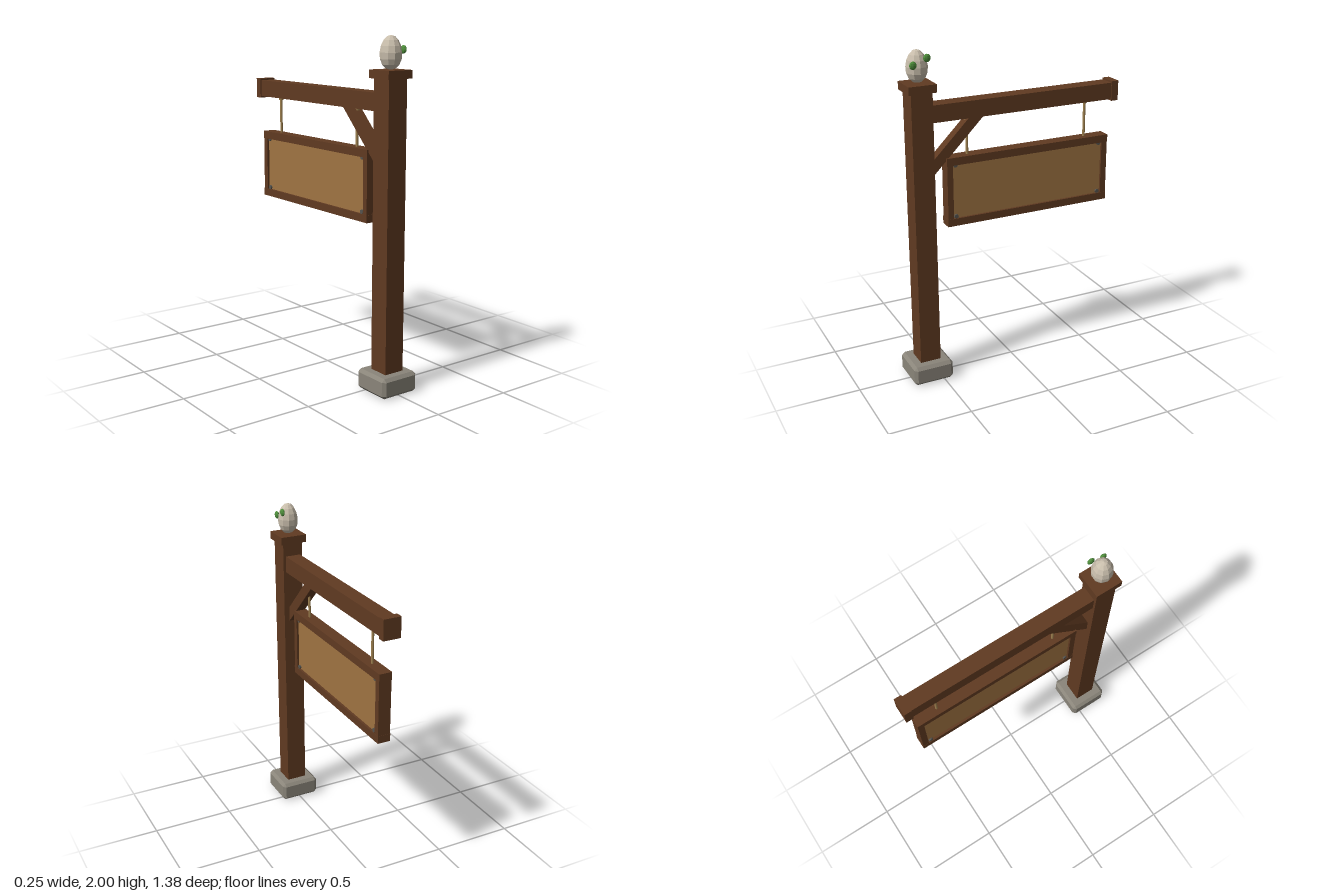
import * as THREE from 'three';
import { ConvexGeometry } from 'three/addons/geometries/ConvexGeometry.js';

function mat(name, color) {
  const m = new THREE.MeshStandardMaterial({ color });
  m.name = name;
  return m;
}

// Faceted normals without changing the material
function faceted(geo) {
  const g = geo.index ? geo.toNonIndexed() : geo;
  g.computeVertexNormals();
  return g;
}

// Box with all edges and corners cut by c
function chamferBox(w, h, d, c) {
  const pts = [];
  for (const x of [-1, 1]) for (const y of [-1, 1]) for (const z of [-1, 1]) {
    const [a, b, e] = [x * w / 2, y * h / 2, z * d / 2];
    pts.push(new THREE.Vector3(a, b - y * c, e - z * c));
    pts.push(new THREE.Vector3(a - x * c, b, e - z * c));
    pts.push(new THREE.Vector3(a - x * c, b - y * c, e));
  }
  return new ConvexGeometry(pts);
}

export function createModel() {
  const model = new THREE.Group();
  model.name = 'hangingSignpost';

  const wood = mat('darkWood', 0x603a21);
  const board = mat('lightWood', 0xa07442);
  const stone = mat('stone', 0x8a857a);
  const shell = mat('eggShell', 0xc9beac);
  const green = mat('greenSpot', 0x4f8f3c);
  const rope = mat('rope', 0xa08250);
  const iron = mat('iron', 0x55534e);

  function add(name, geo, material, x, y, z, parent = model) {
    const mesh = new THREE.Mesh(geo, material);
    mesh.name = name;
    mesh.position.set(x, y, z);
    parent.add(mesh);
    return mesh;
  }
  // Box given by its width and its y and z limits
  function bar(name, material, w, y0, y1, z0, z1, parent = model) {
    return add(name, new THREE.BoxGeometry(w, y1 - y0, z1 - z0), material,
      0, (y0 + y1) / 2, (z0 + z1) / 2, parent);
  }

  const postZ = 0.568;

  // Stone foot and post
  add('base', chamferBox(0.246, 0.118, 0.246, 0.018), stone, 0, 0.061, postZ);
  bar('post', wood, 0.126, 0, 1.775, postZ - 0.063, postZ + 0.063);
  bar('postCap', wood, 0.164, 1.77, 1.816, postZ - 0.082, postZ + 0.082);

  // Arm with its end block
  bar('arm', wood, 0.094, 1.59, 1.69, -0.65, 0.51);
  bar('armEnd', wood, 0.106, 1.58, 1.7, -0.69, -0.645);

  // Diagonal brace, drawn in (z, y) and extruded across x
  const braceWidth = 0.06;
  const braceShape = new THREE.Shape([
    [0.51, 1.265], [0.51, 1.355], [0.27, 1.595], [0.18, 1.595],
  ].map(([z, y]) => new THREE.Vector2(-z, y)));
  const braceGeo = new THREE.ExtrudeGeometry(braceShape, { depth: braceWidth, bevelEnabled: false });
  braceGeo.translate(0, 0, -braceWidth / 2).rotateY(Math.PI / 2);
  add('brace', braceGeo, wood, 0, 0, 0);

  // Hanging board with frame
  const sign = new THREE.Group();
  sign.name = 'sign';
  model.add(sign);
  bar('panel', board, 0.05, 0.97, 1.35, -0.62, 0.4, sign);
  bar('frameTop', wood, 0.078, 1.322, 1.368, -0.636, 0.422, sign);
  bar('frameBottom', wood, 0.078, 0.952, 0.997, -0.636, 0.422, sign);
  bar('frameFront', wood, 0.076, 0.96, 1.36, 0.385, 0.42, sign);
  bar('frameBack', wood, 0.076, 0.96, 1.36, -0.634, -0.597, sign);

  // Corner bolts on both faces
  const boltGeo = faceted(new THREE.CylinderGeometry(0.013, 0.013, 0.012, 8)).rotateZ(Math.PI / 2);
  for (const side of [-1, 1])
    for (const y of [1.008, 1.32])
      for (const z of [0.367, -0.578])
        add('bolt', boltGeo, iron, side * 0.029, y, z, sign);

  // Hangers with a collar under the arm
  for (const z of [0.28, -0.49]) {
    add('hanger', new THREE.CylinderGeometry(0.008, 0.008, 0.24, 8), rope, 0, 1.475, z);
    add('hangerCollar', new THREE.CylinderGeometry(0.016, 0.014, 0.018, 8), rope, 0, 1.583, z);
  }

  // Faceted egg, a little narrower towards the top
  const ry = 0.0925;
  const eggGeo = new THREE.SphereGeometry(1, 10, 8);
  const p = eggGeo.attributes.position;
  for (let i = 0; i < p.count; i++) {
    const r = 0.061 * (1 - 0.1 * p.getY(i));
    p.setXYZ(i, p.getX(i) * r, p.getY(i) * ry, p.getZ(i) * r);
  }
  add('egg', faceted(eggGeo), shell, 0, 2 - ry, postZ);

  // Green spots on the egg
  for (const [y, z] of [[1.924, 0.609], [1.958, 0.528]]) {
    const geo = new THREE.SphereGeometry(1, 8, 6).scale(0.012, 0.023, 0.022);
    add('eggSpot', faceted(geo), green, 0.053, y, z);
  }

  return model;
}
